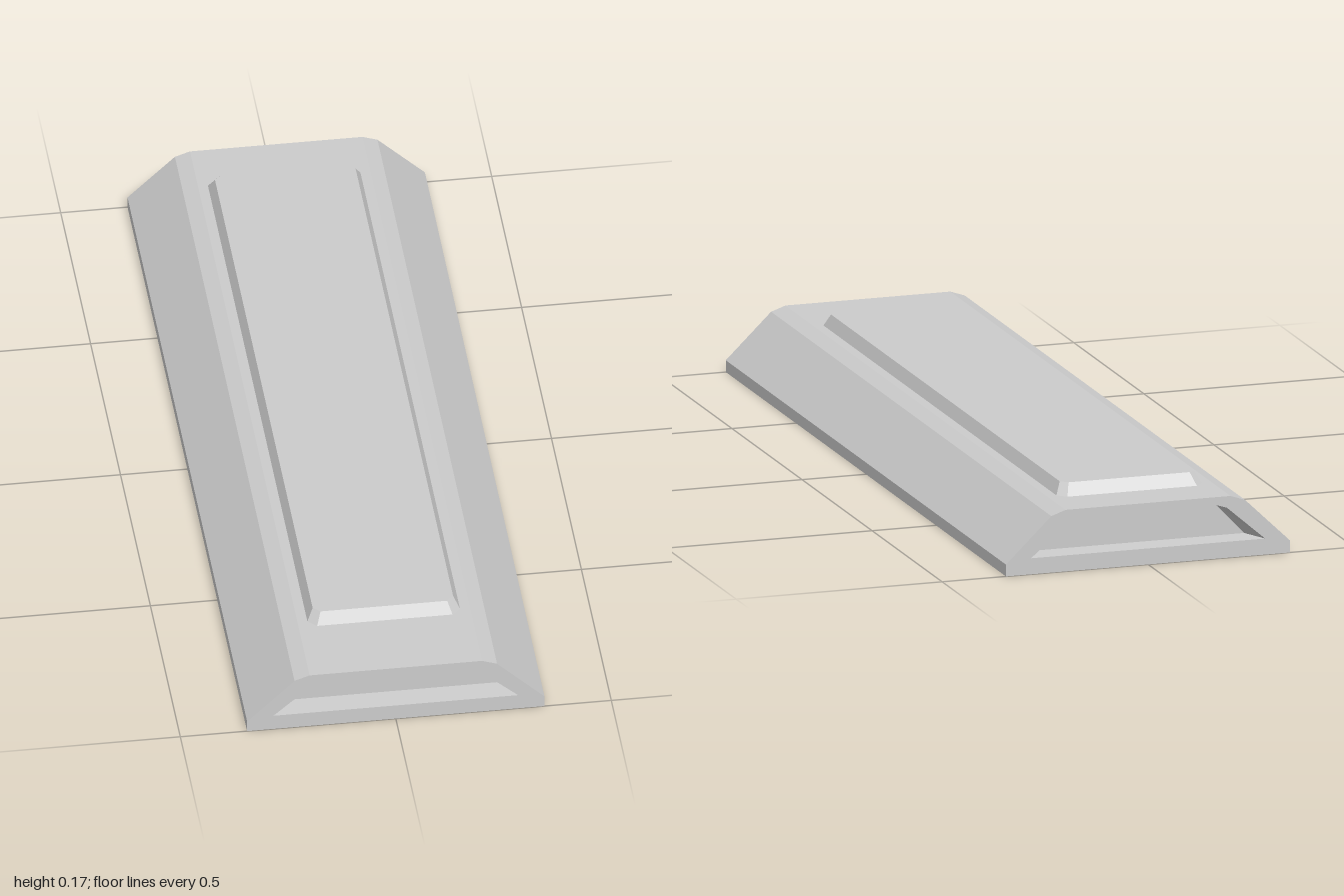
import * as THREE from 'three';

const material = new THREE.MeshStandardMaterial({ color: 0xcccccc, flatShading: true });

// Skin between successive rings of points, optionally closing the last (convex) ring
function loft(rings, cap) {
  const pos = [];
  const tri = (...pts) => pts.forEach((p) => pos.push(...p));
  for (let k = 0; k < rings.length - 1; k++) {
    const r0 = rings[k], r1 = rings[k + 1];
    r0.forEach((a, i) => {
      const j = (i + 1) % r0.length;
      tri(a, r0[j], r1[j]);
      tri(a, r1[j], r1[i]);
    });
  }
  if (cap) {
    const r = rings[rings.length - 1];
    for (let i = 1; i < r.length - 1; i++) tri(r[0], r[i], r[i + 1]);
  }
  const g = new THREE.BufferGeometry();
  g.setAttribute('position', new THREE.Float32BufferAttribute(pos, 3));
  g.computeVertexNormals();
  return g;
}

// Mirror the right half of a profile (bottom to top) into a closed outline
const mirrored = (half) => [...half, ...half.map(([x, y]) => [-x, y]).reverse()];
const atZ = (outline, z) => outline.map(([x, y]) => [x, y, z]);
const toVectors = (outline) => outline.map(([x, y]) => new THREE.Vector2(x, y));

function part(name, geometry) {
  const mesh = new THREE.Mesh(geometry, material);
  mesh.name = name;
  return mesh;
}

// Rectangle with cut corners, lying flat at height y
function plateRing(hx, zBack, zFront, y, c) {
  return [
    [-hx + c, y, zFront], [hx - c, y, zFront], [hx, y, zFront - c], [hx, y, zBack + c],
    [hx - c, y, zBack], [-hx + c, y, zBack], [-hx, y, zBack + c], [-hx, y, zFront - c],
  ];
}

export function createModel() {
  const model = new THREE.Group();
  model.name = 'bevelledBar';

  const body = mirrored([[0.345, 0], [0.345, 0.028], [0.235, 0.134], [0.2, 0.146]]);
  const mouth = mirrored([[0.284, 0.038], [0.191, 0.119], [0.163, 0.128]]);
  const floor = mirrored([[0.25, 0.042], [0.18, 0.116], [0.154, 0.1225]]);

  // Long bevelled body
  // (the outline starts at the lower right and runs counter-clockwise)
  model.add(part('body', loft([atZ(body, -1), atZ(body, 1)], false)));

  // End faces, each with a tapered recess
  const face = new THREE.Shape(toVectors(body));
  face.holes.push(new THREE.Path(toVectors(mouth)));
  for (const [name, turn] of [['frontEnd', 0], ['backEnd', Math.PI]]) {
    const end = new THREE.Group();
    end.name = name;
    end.add(part('endFace', new THREE.ShapeGeometry(face).translate(0, 0, 1)));
    end.add(part('endRecess', loft([atZ(mouth, 1), atZ(floor, 0.95)], true)));
    end.rotation.y = turn;
    model.add(end);
  }

  // Raised top plate with sloping edges
  model.add(part('topPlate', loft([
    plateRing(0.177, -0.886, 0.817, 0.146, 0.02),
    plateRing(0.163, -0.864, 0.8, 0.174, 0.016),
  ], true)));

  return model;
}
